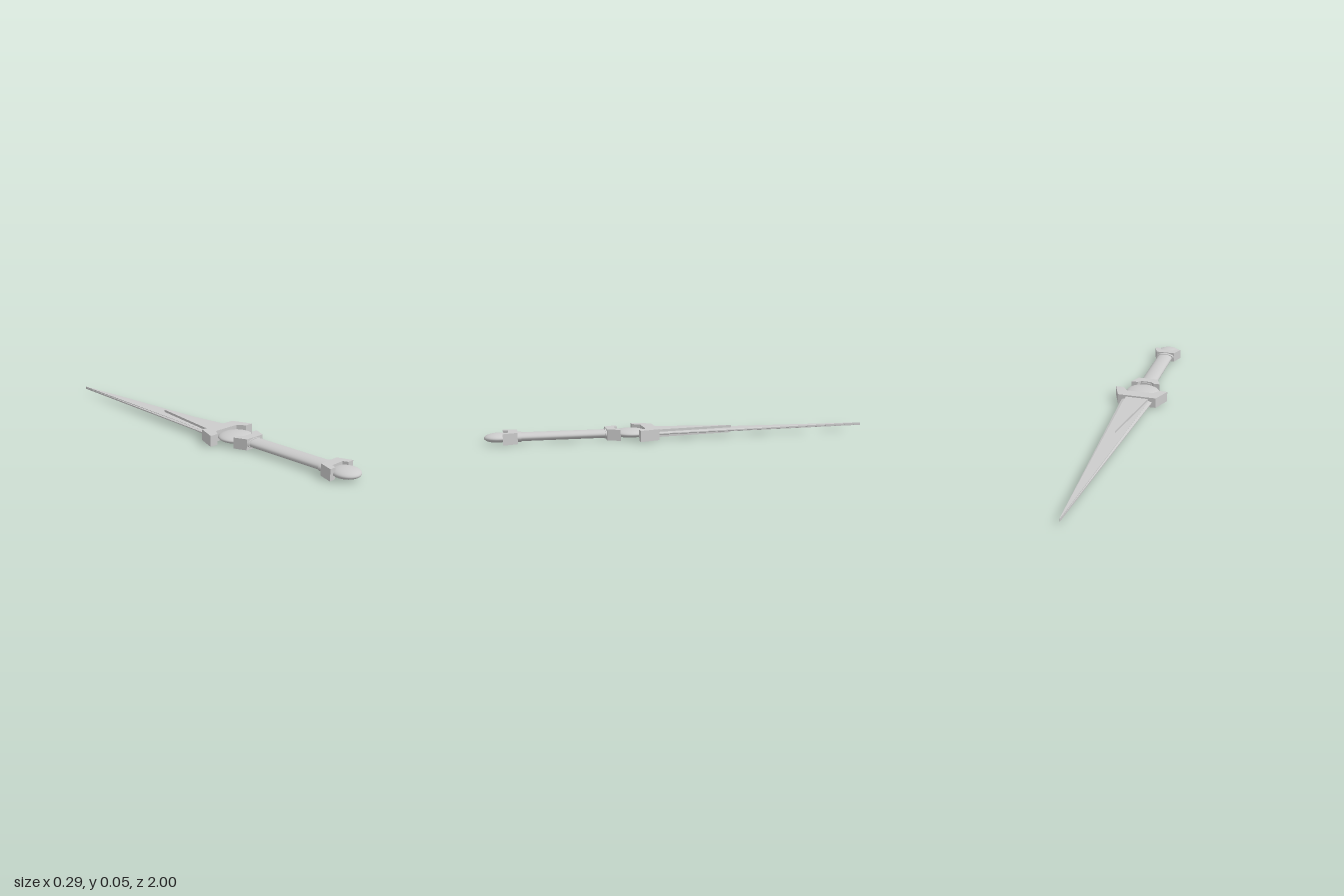
import * as THREE from 'three';

const MID = 0.0275; // height of the dagger's centre plane

export function createModel() {
  const group = new THREE.Group();
  const material = new THREE.MeshStandardMaterial({ color: 0xcccccc });

  const add = (name, geometry, z = 0) => {
    const mesh = new THREE.Mesh(geometry, material);
    mesh.name = name;
    mesh.position.set(0, MID, z);
    group.add(mesh);
  };

  // Flat plate from the +x half of an (x, z) outline, mirrored to the other side
  const plate = (name, half, height) => {
    const mirrored = half.filter(([x]) => x > 0).reverse().map(([x, z]) => [-x, z]);
    const shape = new THREE.Shape([...half, ...mirrored].map(([x, z]) => new THREE.Vector2(x, -z)));
    const geometry = new THREE.ExtrudeGeometry(shape, { depth: height, bevelEnabled: false });
    geometry.translate(0, 0, -height / 2).rotateX(-Math.PI / 2);
    add(name, geometry);
  };

  const ellipsoid = (name, rx, ry, rz, z) =>
    add(name, new THREE.SphereGeometry(1, 40, 24).scale(rx, ry, rz), z);

  // Elliptical rod lying along z
  const rod = (name, rx, ry, z0, z1) => {
    const geometry = new THREE.CylinderGeometry(1, 1, z1 - z0, 32).rotateX(Math.PI / 2);
    add(name, geometry.scale(rx, ry, 1), (z0 + z1) / 2);
  };

  // Blade: bevelled section tapering in width only
  const section = [[0.085, -0.002], [0.085, 0.002], [0.07, 0.007], [-0.07, 0.007],
    [-0.085, 0.002], [-0.085, -0.002], [-0.07, -0.007], [0.07, -0.007]];
  const blade = new THREE.ExtrudeGeometry(
    new THREE.Shape(section.map(([x, y]) => new THREE.Vector2(x, y))),
    { depth: 1.18, bevelEnabled: false });
  const pos = blade.attributes.position;
  for (let i = 0; i < pos.count; i++) {
    pos.setX(i, pos.getX(i) * (0.015 + 0.985 * pos.getZ(i) / 1.18));
  }
  blade.computeVertexNormals();
  add('blade', blade, -1);

  // Raised wedge on both faces of the blade
  plate('bladeWedge', [[0, -0.25], [0.065, 0.18]], 0.038);

  // Guard with swept wings, and the disc it holds
  plate('guard', [[0.105, 0.157], [0.145, 0.258], [0.1, 0.258], [0.073, 0.22]], 0.055);
  ellipsoid('guardDisc', 0.092, 0.0225, 0.085, 0.287);

  // Grip and its collars
  plate('gripClasp', [[0.03, 0.365], [0.045, 0.347], [0.081, 0.347], [0.055, 0.41]], 0.055);
  rod('grip', 0.045, 0.021, 0.36, 0.88);
  rod('upperCollar', 0.052, 0.024, 0.4, 0.417);
  rod('lowerCollar', 0.053, 0.024, 0.825, 0.85);

  // Pommel
  plate('pommelClasp', [[0.055, 0.842], [0.081, 0.911], [0.047, 0.911], [0.036, 0.887]], 0.055);
  ellipsoid('pommel', 0.066, 0.0225, 0.066, 0.934);

  return group;
}
